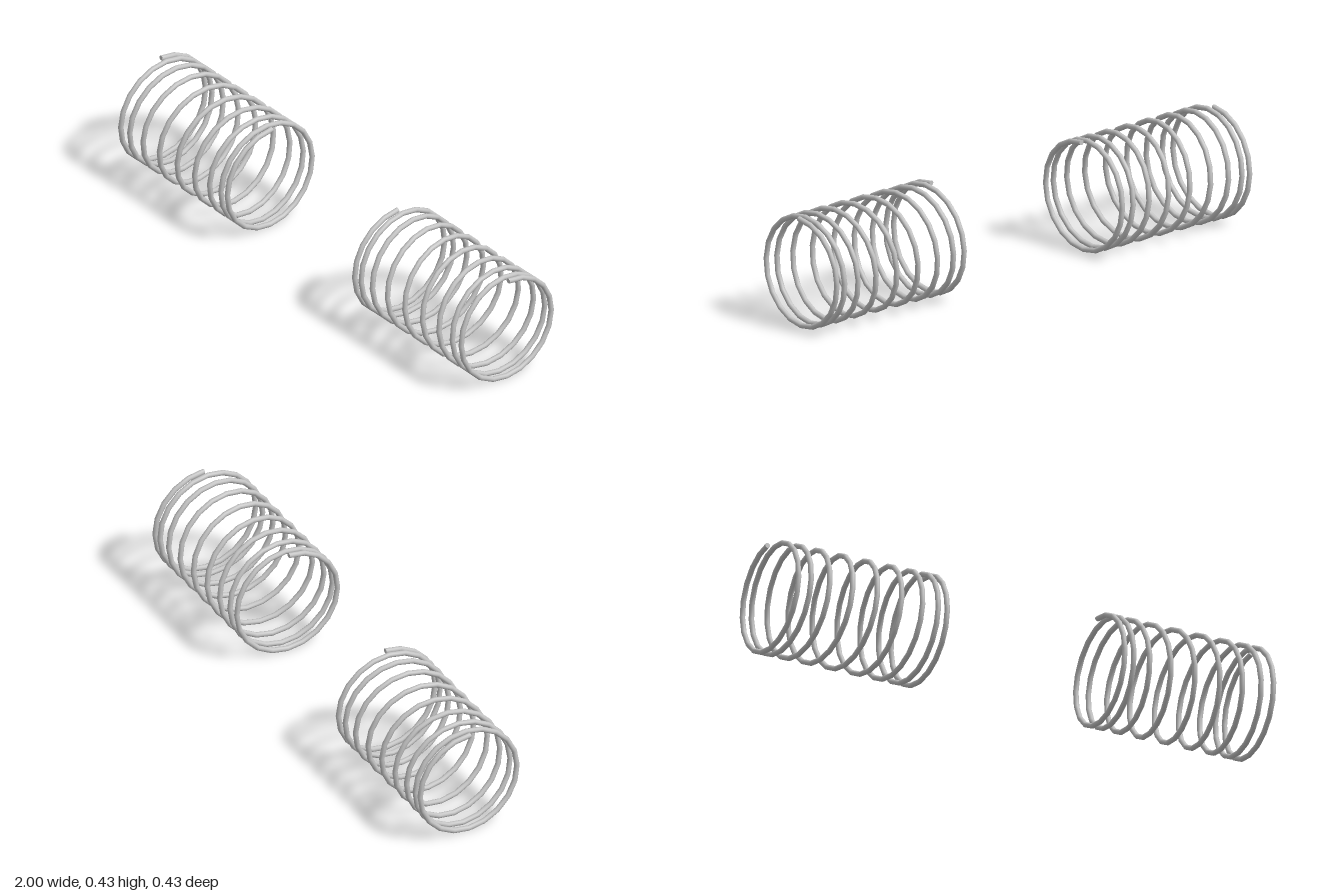
import * as THREE from 'three';

const TURNS = 9, STEPS = 20;        // coils, and straight segments per coil
const COIL_R = 0.2046, WIRE_R = 0.01;
const AXIS_Y = 0.217, MID_X = 0.675, HALF = 0.316;

// Helix about the x axis whose coils bunch together toward both ends
class SpringCurve extends THREE.Curve {
  constructor(side) {
    super();
    this.side = side;
  }
  getUtoTmapping(u) {
    return u; // keep exactly STEPS rings per coil
  }
  getPoint(t, target = new THREE.Vector3()) {
    const a = t * TURNS * Math.PI * 2;
    const spread = 0.8 * Math.cos(Math.PI * t) + 0.2 * (1 - 2 * t);
    return target.set(
      this.side * (MID_X + HALF * spread),
      AXIS_Y + COIL_R * Math.cos(a),
      -COIL_R * Math.sin(a)
    );
  }
}

function makeSpring(side, name, material) {
  const spring = new THREE.Group();
  spring.name = name;
  const curve = new SpringCurve(side);

  const wire = new THREE.Mesh(
    new THREE.TubeGeometry(curve, TURNS * STEPS, WIRE_R, 10, false), material);
  wire.name = 'coiledWire';
  spring.add(wire);

  // Flat discs closing the two cut ends of the wire
  for (const t of [0, 1]) {
    const cap = new THREE.Mesh(new THREE.CircleGeometry(WIRE_R, 10), material);
    cap.name = t ? 'innerWireEnd' : 'outerWireEnd';
    const p = curve.getPoint(t);
    cap.position.copy(p);
    cap.lookAt(p.clone().addScaledVector(curve.getTangent(t), t ? 1 : -1));
    spring.add(cap);
  }
  return spring;
}

export function createModel() {
  const model = new THREE.Group();
  model.name = 'springPair';
  const steel = new THREE.MeshStandardMaterial({ color: 0xc4c4c4 });
  steel.name = 'steel grey';

  // Mirrored pair
  model.add(makeSpring(1, 'leftSpring', steel), makeSpring(-1, 'rightSpring', steel));
  return model;
}
